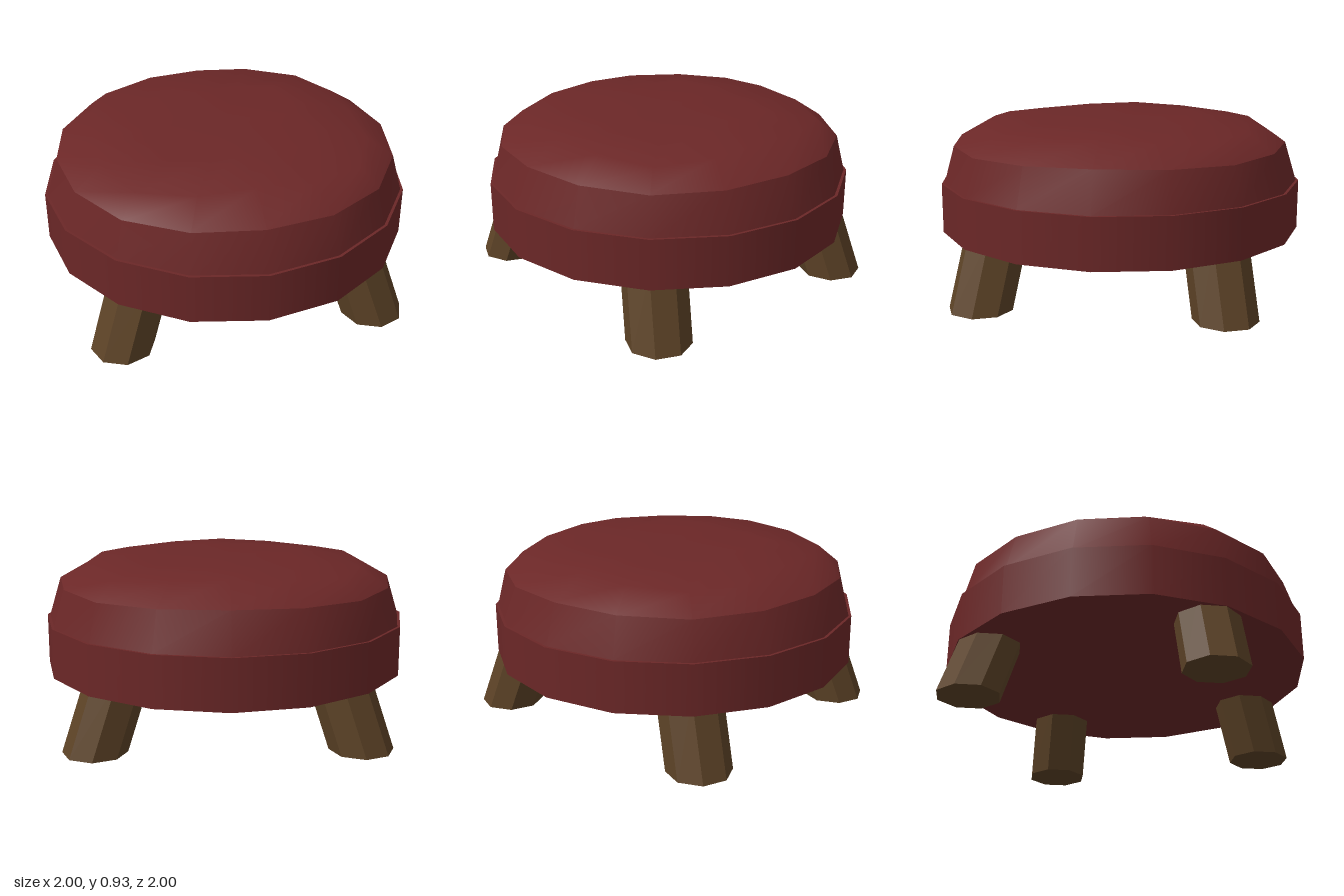
import * as THREE from 'three';

const SIDES = 16;

// Smooth shell through stacked rings; each ring is [axis radius, diagonal radius, axis y, diagonal y].
function ringShell(rings) {
  const positions = [];
  const index = [];
  for (const [rAxis, rDiag, yAxis, yDiag] of rings) {
    for (let k = 0; k < SIDES; k++) {
      const a = (k / SIDES) * Math.PI * 2;
      const t = Math.sin(2 * a) ** 2;
      const r = rAxis + (rDiag - rAxis) * t;
      positions.push(r * Math.sin(a), yAxis + (yDiag - yAxis) * t, r * Math.cos(a));
    }
  }
  for (let j = 0; j < rings.length - 1; j++) {
    for (let k = 0; k < SIDES; k++) {
      const n = (k + 1) % SIDES;
      const a = j * SIDES + k, b = j * SIDES + n;
      const c = a + SIDES, d = b + SIDES;
      index.push(a, b, d, a, d, c);
    }
  }
  const geometry = new THREE.BufferGeometry();
  geometry.setAttribute('position', new THREE.Float32BufferAttribute(positions, 3));
  geometry.setIndex(index);
  return geometry;
}

function addMesh(parent, name, geometry, material) {
  const mesh = new THREE.Mesh(geometry, material);
  mesh.name = name;
  parent.add(mesh);
  return mesh;
}

export function createModel() {
  const model = new THREE.Group();
  model.name = 'footstool';

  const fabric = new THREE.MeshStandardMaterial({ color: 0x6b2727 });
  fabric.name = 'dark red fabric';
  const wood = new THREE.MeshStandardMaterial({ color: 0x5c4226 });
  wood.name = 'brown wood';

  // Straight-sided seat base
  const base = new THREE.CylinderGeometry(1, 1, 0.27, SIDES);
  base.translate(0, 0.455, 0);
  addMesh(model, 'seatBase', base, fabric);

  // Cushion: tapering side, then a softly domed top with a crisp rim between them
  const cushion = new THREE.Group();
  cushion.name = 'cushion';
  model.add(cushion);

  const rim = [0.92, 0.935, 0.802, 0.79];
  const side = ringShell([[0.985, 0.985, 0.59, 0.59], rim]);
  side.computeVertexNormals();
  addMesh(cushion, 'cushionSide', side, fabric);

  const top = ringShell([
    rim,
    [0.72, 0.82, 0.915, 0.885],
    [0.37, 0.52, 0.93, 0.925],
  ]);
  // Fan closing the centre of the top
  const positions = Array.from(top.attributes.position.array);
  const index = Array.from(top.index.array);
  const centre = positions.length / 3;
  positions.push(0, 0.93, 0);
  for (let k = 0; k < SIDES; k++) {
    index.push(2 * SIDES + k, 2 * SIDES + ((k + 1) % SIDES), centre);
  }
  top.setAttribute('position', new THREE.Float32BufferAttribute(positions, 3));
  top.setIndex(index);
  top.computeVertexNormals();
  addMesh(cushion, 'cushionTop', top, fabric);

  // Four splayed octagonal legs, sheared so the feet stay flat on the ground
  const legHeight = 0.4;
  for (const sx of [1, -1]) {
    for (const sz of [1, -1]) {
      const leg = new THREE.CylinderGeometry(0.17, 0.17, legHeight, 8).toNonIndexed();
      leg.translate(0, legHeight / 2, 0);
      const p = leg.attributes.position;
      for (let i = 0; i < p.count; i++) {
        const y = p.getY(i);
        p.setX(i, p.getX(i) + sx * (0.69 - 0.32 * y));
        p.setZ(i, p.getZ(i) + sz * (0.635 - 0.17 * y));
      }
      leg.computeVertexNormals(); // unshared corners give flat facets
      addMesh(model, `${sz > 0 ? 'front' : 'back'}${sx > 0 ? 'Left' : 'Right'}Leg`, leg, wood);
    }
  }

  return model;
}
